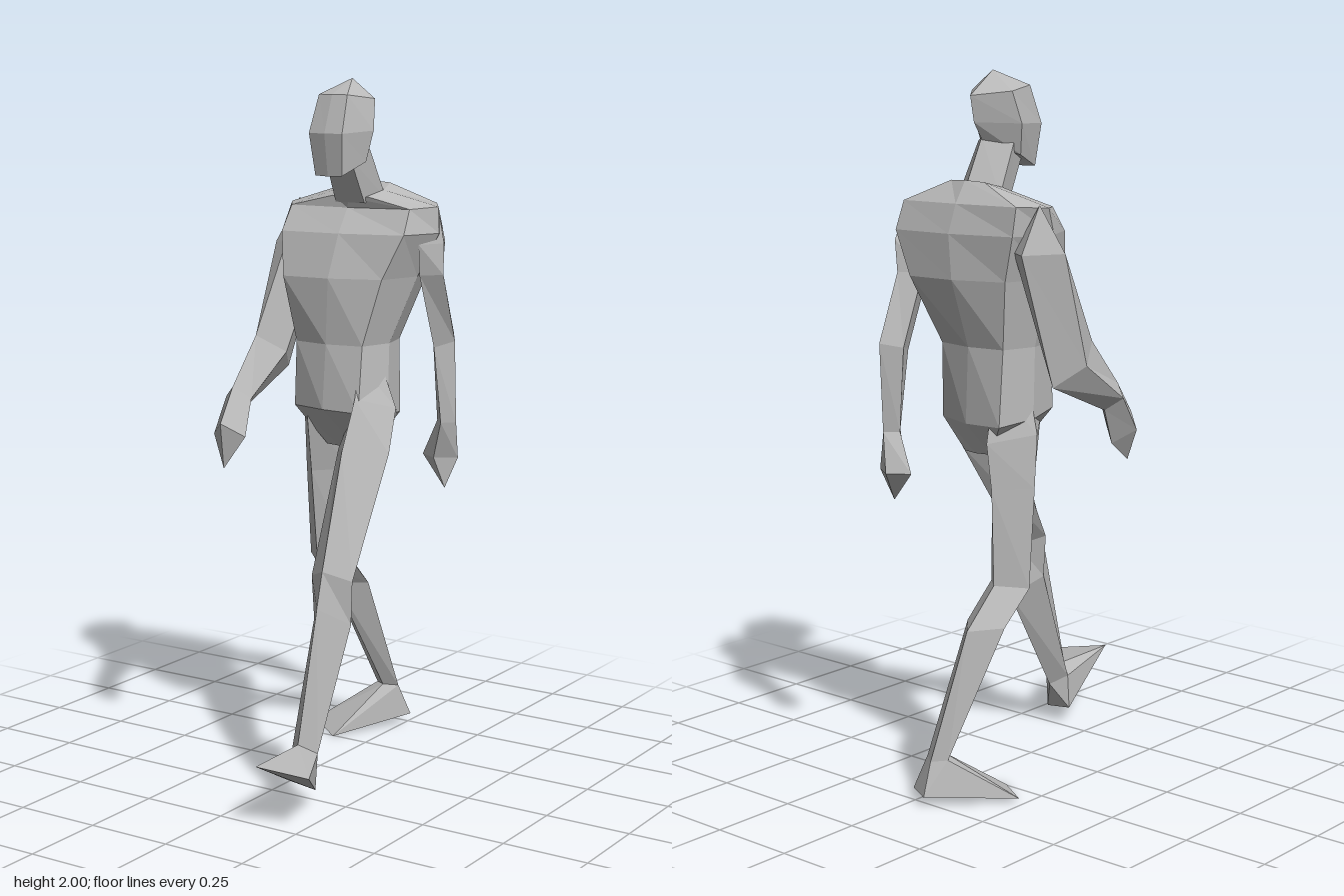
import * as THREE from 'three';
import { ConvexGeometry } from 'three/addons/geometries/ConvexGeometry.js';

const clay = new THREE.MeshStandardMaterial({ color: 0xb8b8b8 });
clay.name = 'grey clay';

// Unit outlines in x and z, front first
const LIMB = [[0, 1], [1, 0], [0, -1], [-1, 0]];
const BODY = [[0, 1], [.8, .85], [1, 0], [.8, -.85], [0, -1], [-.8, -.85], [-1, 0], [-.8, .85]];
const HEAD = [[0, 1], [.65, .95], [1, -.1], [0, -1], [-1, -.1], [-.65, .95]];

// Scales an outline about a centre; tilt raises its front, twist moves its left side forward.
function ring(outline, [x, y, z, halfWidth = 0, halfDepth = 0, tilt = 0, twist = 0]) {
  return outline.map(([u, v]) => new THREE.Vector3(
    x + u * halfWidth, y + v * tilt, z + v * halfDepth + u * halfWidth * twist));
}

// Skins successive rings, given from top to bottom, with flat triangles and caps both ends
function loft(outline, sections) {
  const rings = sections.map(s => ring(outline, s));
  const ends = [sections[0], sections[sections.length - 1]].map(([x, y, z]) =>
    outline.map(() => new THREE.Vector3(x, y, z)));
  const all = [ends[0], ...rings, ends[1]];
  const points = [];
  for (let i = 0; i < all.length - 1; i++) {
    outline.forEach((_, j) => {
      const k = (j + 1) % outline.length;
      const [a, b, c, d] = [all[i][j], all[i][k], all[i + 1][k], all[i + 1][j]];
      for (const [p, q, r] of [[a, c, b], [a, d, c]]) {
        if (new THREE.Triangle(p, q, r).getArea() > 1e-9) points.push(p, q, r);
      }
    });
  }
  const geometry = new THREE.BufferGeometry().setFromPoints(points);
  geometry.computeVertexNormals();
  return geometry;
}

export function createModel() {
  const model = new THREE.Group();
  model.name = 'walkingFigure';
  const part = (name, geometry) => {
    const mesh = new THREE.Mesh(geometry, clay);
    mesh.name = name;
    model.add(mesh);
  };

  // Each section: centre x, y, z, half width, half depth, tilt, twist
  part('torso', loft(BODY, [
    [.02, 1.685, -.185, .075, .07, -.02],
    [.01, 1.64, -.215, .235, .09, -.005, -.1],
    [.015, 1.565, -.2, .235, .13, 0, -.15],
    [.005, 1.44, -.18, .185, .15, 0, -.2],
    [-.005, 1.25, -.155, .14, .12],
    [0, 1.05, -.145, .15, .135, .015, .15],
    [0, .945, -.17, .06, .07],
  ]));
  part('neck', loft(HEAD, [
    [.02, 1.8, -.12, .065, .065, -.02],
    [.02, 1.66, -.19, .075, .07, -.01],
  ]));
  part('head', loft(HEAD, [
    [.01, 2, -.15],
    [.013, 1.945, -.14, .073, .1, .012],
    [.015, 1.855, -.11, .085, .113, -.005],
    [.018, 1.765, -.095, .068, .085, -.035],
  ]));

  // Arms run from shoulder to fingertip; the last three sections form the hand
  const arm = (side, sections) => {
    part(side + 'Arm', loft(LIMB, sections.slice(0, -2)));
    part(side + 'Hand', loft(LIMB, sections.slice(-3)));
  };
  arm('left', [
    [.235, 1.635, -.255],
    [.215, 1.535, -.255, .04, .075],
    [.207, 1.445, -.265, .05, .065, 0, .3],
    [.2, 1.24, -.355, .037, .058, -.015],
    [.212, 1, -.355, .032, .035],
    [.18, .89, -.375, .06, .04],
    [.21, .8, -.35],
  ]);
  arm('right', [
    [-.22, 1.65, -.225],
    [-.22, 1.52, -.225, .06, .075, 0, -.6],
    [-.238, 1.205, -.105, .05, .085, .055],
    [-.236, 1.09, .07, .044, .03, .035],
    [-.223, .99, .135, .055, .045, .04],
    [-.23, .895, .155],
  ]);

  // Legs run from hip to ankle; the foot is a wedge from the ankle to a heel edge and a toe edge
  const leg = (side, sections, edges) => {
    part(side + 'Leg', loft(LIMB, sections));
    const ankle = ring(LIMB, sections[sections.length - 1]);
    part(side + 'Foot', new ConvexGeometry([...ankle, ...edges.map(p => new THREE.Vector3(...p))]));
  };
  leg('left', [
    [.085, 1.2, -.13, .035, .06],
    [.11, 1.07, -.125, .067, .115, .035],
    [.115, .95, -.05, .085, .115, .015],
    [.138, .62, .15, .068, .05, .03],
    [.14, .495, .15, .062, .08, .055],
    [.133, .15, .28, .043, .035, .028],
  ], [[.08, .05, .275], [.165, .04, .275], [.14, .178, .53], [.28, .155, .48]]);
  leg('right', [
    [-.07, 1.15, -.16, .055, .08],
    [-.085, 1.01, -.175, .085, .115, .02],
    [-.097, .86, -.192, .078, .092],
    [-.105, .58, -.215, .07, .07, -.01],
    [-.098, .485, -.31, .068, .08, .005],
    [-.05, .125, -.46, .038, .03, .005],
  ], [[-.06, .03, -.53], [.015, .03, -.49], [-.235, .012, -.33], [-.115, 0, -.245]]);

  return model;
}
